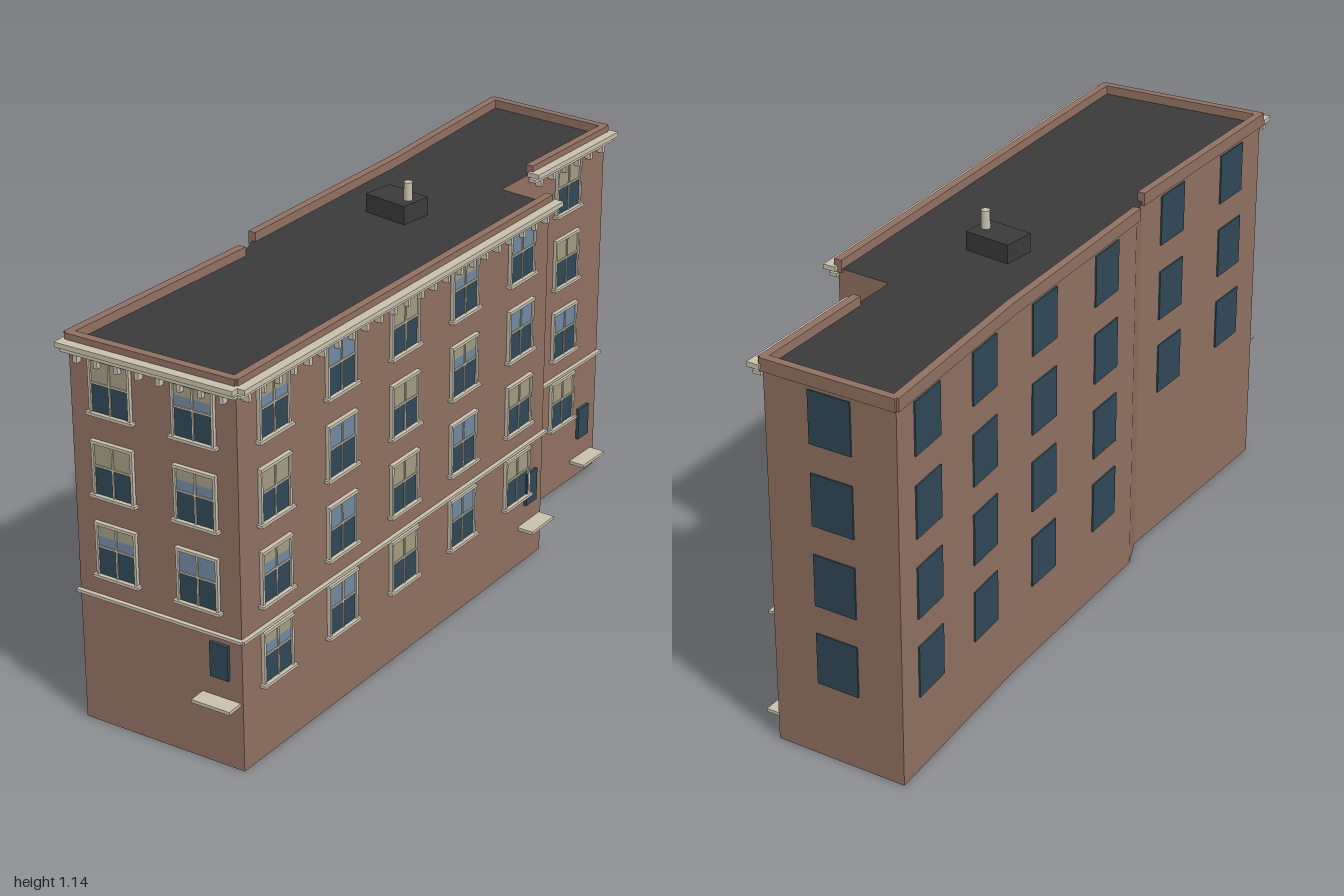
import * as THREE from 'three';

const mat = (name, color) => {
  const m = new THREE.MeshStandardMaterial({ color });
  m.name = name;
  return m;
};

export function createModel() {
  const brick = mat('brick', 0x8f7060);
  const roofing = mat('roofing', 0x3a3a3a);
  const stone = mat('stone trim', 0xc8c0ae);
  const glass = mat('dark glass', 0x2f4756);
  const sky = mat('reflecting glass', 0x7089a0);
  const blind = mat('window blind', 0xa39a82);

  const model = new THREE.Group();
  model.name = 'building';

  // Box given by its centre x, bottom and top y, and back and front z
  const box = (parent, name, material, x, w, y0, y1, z0, z1) => {
    const m = new THREE.Mesh(new THREE.BoxGeometry(w, y1 - y0, z1 - z0), material);
    m.position.set(x, (y0 + y1) / 2, (z0 + z1) / 2);
    m.name = name;
    parent.add(m);
    return m;
  };

  // Footprint corners (x, z), counterclockwise from above, starting front left
  const plan = [
    [-0.09, 0.96], [0.38, 0.87], [0.18, -0.48], [0.025, -0.47], [0.007, -0.61],
    [-0.04, -0.985], [-0.413, -0.945], [-0.305, -0.4], [-0.21, 0.23], [-0.16, 0.32],
  ];

  // Main block: brick sides, dark roof and underside
  const shape = new THREE.Shape(plan.map(([x, z]) => new THREE.Vector2(x, -z)));
  const body = new THREE.ExtrudeGeometry(shape, { depth: 1.035, bevelEnabled: false });
  body.rotateX(-Math.PI / 2);
  const block = new THREE.Mesh(body, [roofing, brick]);
  block.name = 'mainBlock';
  model.add(block);

  const rowY = [0.28, 0.5, 0.72, 0.94];

  // Sash window; shade: b = blind down, h = blind half down, s = sky reflection
  const sashWindow = (wall, x, y, shade) => {
    const g = new THREE.Group();
    g.name = 'sashWindow';
    g.position.set(x, y, 0);
    wall.add(g);
    const w = 0.12, b = -0.071, t = 0.071;
    box(g, 'lowerPane', glass, 0, w - 0.01, b, 0.008, 0, 0.005);
    const split = { b: 0.008, h: 0.036, s: t }[shade];
    if (split > 0.008) box(g, 'upperPane', sky, 0, w - 0.01, 0.008, split, 0, 0.005);
    if (split < t) box(g, 'blind', blind, 0, w - 0.01, split, t, 0, 0.005);
    for (const s of [-1, 1]) box(g, 'jamb', stone, s * (w / 2 - 0.003), 0.007, b, t, 0, 0.01);
    box(g, 'head', stone, 0, w + 0.004, t - 0.004, t + 0.004, 0, 0.012);
    box(g, 'sill', stone, 0, w + 0.016, b - 0.006, b + 0.002, 0, 0.016);
    box(g, 'mullion', stone, 0, 0.005, b, t, 0, 0.008);
    box(g, 'meetingRail', stone, 0, w - 0.01, 0.005, 0.01, 0, 0.008);
  };

  // Wall frame: local x runs along the wall, local z points outward
  const makeWall = (i, name, { parapet = true, fancy = false, plain = [], plainRows = rowY }) => {
    const [ax, az] = plan[i], [bx, bz] = plan[(i + 1) % plan.length];
    const L = Math.hypot(bx - ax, bz - az);
    const wall = new THREE.Group();
    wall.name = name;
    wall.position.set(ax, 0, az);
    wall.rotation.y = Math.atan2(az - bz, bx - ax);
    model.add(wall);
    if (parapet) box(wall, 'parapet', brick, L / 2, L + 0.008, 1.025, 1.06, -0.012, 0.01);
    for (const t of plain)
      for (const y of plainRows) box(wall, 'plainWindow', glass, t * L, 0.12, y - 0.071, y + 0.071, 0, 0.004);
    if (fancy) {
      // Stepped cornice on brackets, and a string course
      box(wall, 'corniceTop', stone, L / 2, L + 0.03, 1.03, 1.043, 0, 0.036);
      box(wall, 'corniceBed', stone, L / 2, L + 0.02, 1.014, 1.023, 0, 0.022);
      box(wall, 'stringCourse', stone, L / 2, L + 0.012, 0.362, 0.37, 0, 0.012);
      const n = Math.round(L / 0.06);
      for (let k = 0; k < n; k++)
        box(wall, 'bracket', stone, ((k + 0.5) / n) * L, 0.011, 0.992, 1.014, 0, 0.018);
    }
    return { wall, L };
  };

  // Shades are listed per row from the bottom, '-' for no window
  const addSashes = ({ wall, L }, ts, rows) =>
    rows.forEach((row, r) => ts.forEach((t, c) => {
      if (row[c] !== '-') sashWindow(wall, t * L, rowY[r], row[c]);
    }));

  // Small entrance panel with a projecting stone step
  const addEntrance = ({ wall, L }, t, y0, stepY) => {
    box(wall, 'entrancePanel', glass, t * L, 0.053, y0, y0 + 0.095, 0, 0.009);
    box(wall, 'entranceStep', stone, t * L, 0.112, stepY, stepY + 0.009, 0, 0.048);
  };

  const front = makeWall(0, 'frontWall', { fancy: true });
  addSashes(front, [0.25, 0.75], ['--', 'hs', 'bh', 'bh']);
  addEntrance(front, 0.868, 0.247, 0.182);

  const side = makeWall(1, 'leftLongWall', { fancy: true });
  addSashes(side, [0.1, 0.3, 0.5, 0.7, 0.9], ['hsbsb', 'hsbsb', 'bsbhs', 'hsbhs']);
  addEntrance(side, 0.954, 0.175, 0.11);

  const rearSide = makeWall(4, 'leftRearWall', { fancy: true });
  addSashes(rearSide, [0.5], ['b', 's', 'b', 'b']);
  addEntrance(rearSide, 0.81, 0.122, 0.052);

  makeWall(5, 'backWall', { plain: [0.5] });
  makeWall(6, 'rightRearWall', { plain: [0.25, 0.75] });
  makeWall(7, 'rightMiddleWall', { plain: [0.25, 0.75] });
  makeWall(9, 'rightFrontWall', { plain: [0.25, 0.75], plainRows: rowY.slice(1) });

  // Roof hut and vent pipe
  box(model, 'roofHut', roofing, -0.064, 0.134, 1.03, 1.086, -0.2, -0.108);
  const pipe = new THREE.Mesh(new THREE.CylinderGeometry(0.012, 0.012, 0.055, 10), stone);
  pipe.position.set(-0.022, 1.108, -0.152);
  pipe.name = 'ventPipe';
  model.add(pipe);

  return model;
}
